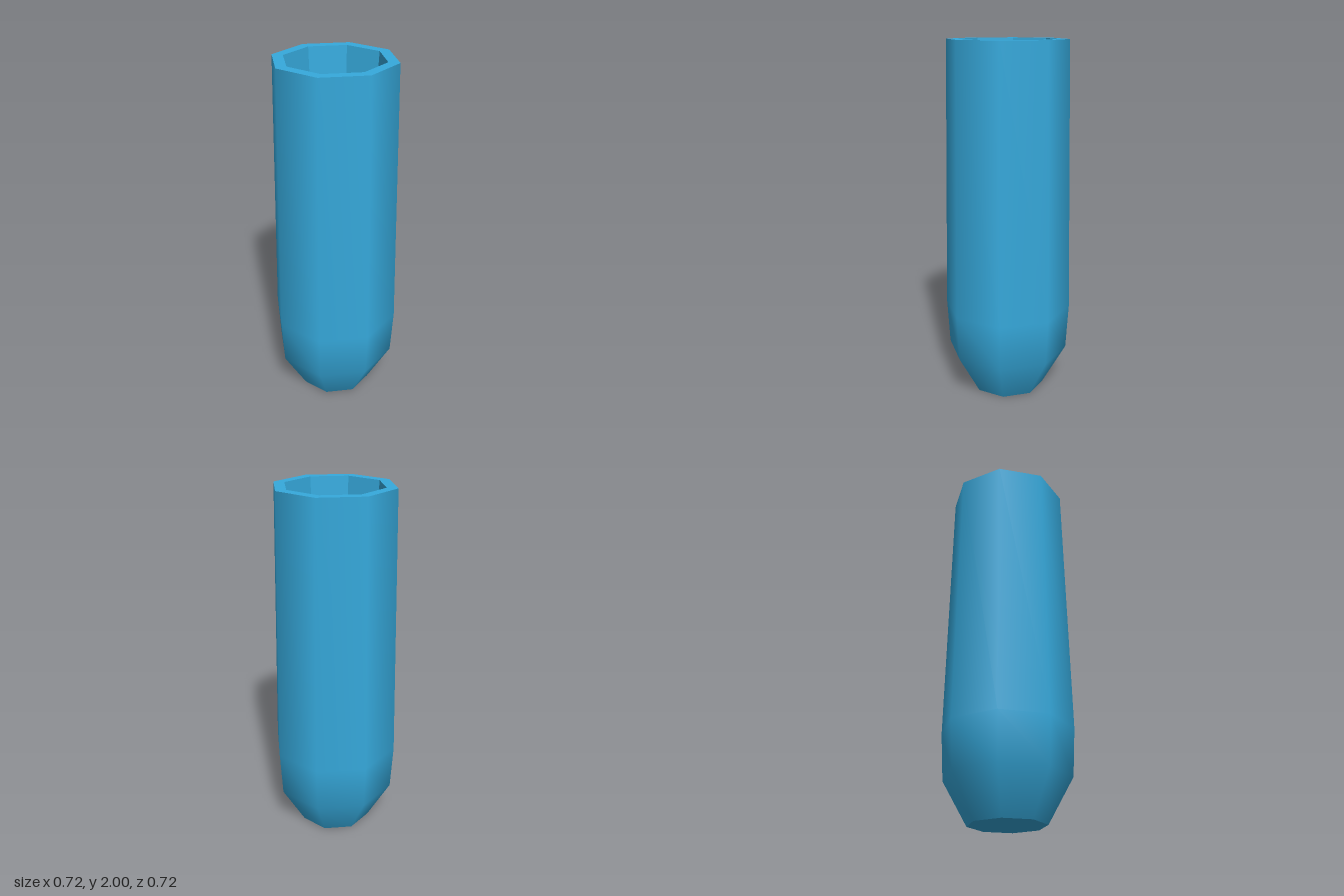
import * as THREE from 'three';

const SIDES = 8;
const blue = 0x36aadd;

// Eight-sided turned surface from [radius, height] pairs
function turned(name, profile, flatShading) {
  const points = profile.map(([r, y]) => new THREE.Vector2(r, y));
  const material = new THREE.MeshStandardMaterial({ color: blue, flatShading });
  const mesh = new THREE.Mesh(new THREE.LatheGeometry(points, SIDES), material);
  mesh.name = name;
  return mesh;
}

export function createModel() {
  const group = new THREE.Group();
  group.name = 'vase';

  // Smooth outer wall with a tapered foot
  group.add(turned('outerWall', [[0.21, 0], [0.345, 0.24], [0.36, 0.5], [0.33, 2]], false));

  // Flat rim around the mouth
  group.add(turned('rim', [[0.33, 2], [0.27, 2]], true));

  // Faceted hollow narrowing down to a flat floor
  group.add(turned('innerWall', [[0.27, 2], [0.148, 0.06]], true));
  group.add(turned('innerFloor', [[0.148, 0.06], [0, 0.06]], true));

  // Underside
  group.add(turned('base', [[0, 0], [0.21, 0]], true));

  return group;
}
